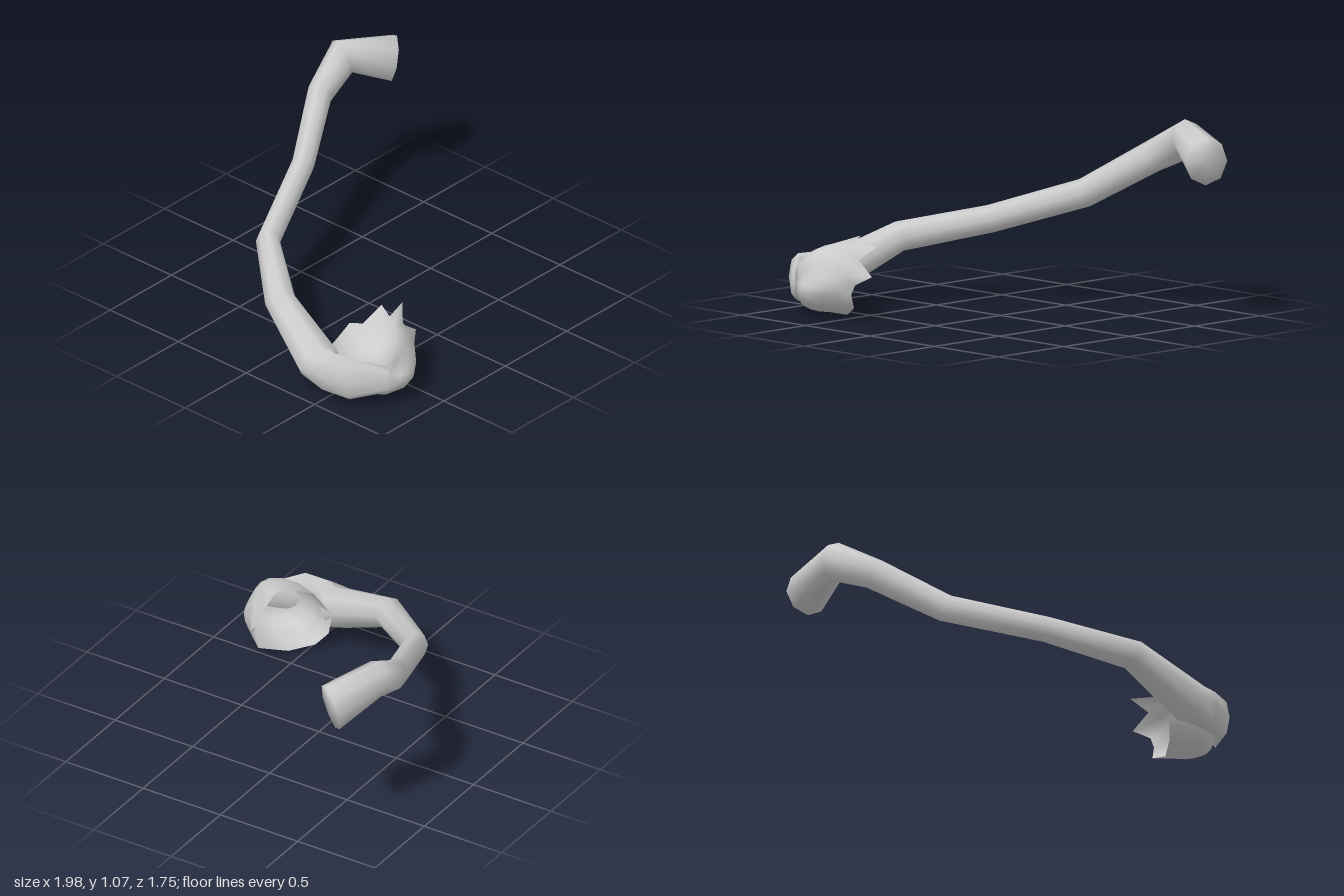
import * as THREE from 'three';
import { mergeVertices } from 'three/addons/utils/BufferGeometryUtils.js';

const V = (p) => new THREE.Vector3(...p);

// Skin a list of closed rings (equal point counts) into a smooth surface
function loft(rings) {
  const n = rings[0].length, index = [];
  for (let i = 0; i < rings.length - 1; i++) {
    for (let j = 0; j < n; j++) {
      const a = i * n + j, b = i * n + (j + 1) % n;
      index.push(a, a + n, b, b, a + n, b + n);
    }
  }
  let geo = new THREE.BufferGeometry().setFromPoints(rings.flat());
  geo.setIndex(index);
  geo = mergeVertices(geo, 1e-4);
  geo.computeVertexNormals();
  return geo;
}

// Eight-sided bent shaft: centre, half width, half height, optional facing
function shaftGeometry(stations, sides = 8) {
  const c = stations.map((s) => V(s.c));
  const dir = (a, b) => c[b].clone().sub(c[a]).normalize();
  const rings = stations.map((s, i) => {
    const t = s.n ? V(s.n).normalize()
      : dir(Math.max(i - 1, 0), i).add(dir(i, Math.min(i + 1, c.length - 1))).normalize();
    const side = t.clone().cross(V([0, 1, 0])).normalize();
    const up = side.clone().cross(t);
    return Array.from({ length: sides }, (_, j) => {
      const a = (j / sides) * Math.PI * 2;
      return c[i].clone().addScaledVector(side, Math.cos(a) * s.w).addScaledVector(up, Math.sin(a) * s.h);
    });
  });
  // close both ends
  rings.unshift(Array.from({ length: sides }, () => c[0].clone()));
  rings.push(Array.from({ length: sides }, () => c[c.length - 1].clone()));
  return loft(rings);
}

// Hollow scoop: a jagged rim rounding off to a pole
function scoopGeometry(rimPoints, centre, pole, rows = 7) {
  const C = V(centre), depth = V(pole).sub(C);
  const rim = rimPoints.map(V), n = rim.length;
  const soft = rim.map((p, j) => p.clone().multiplyScalar(2)
    .add(rim[(j + 1) % n]).add(rim[(j + n - 1) % n]).multiplyScalar(0.25));
  const rings = [rim];
  for (let k = 1; k <= rows; k++) {
    const a = (k / rows) * Math.PI / 2;
    const r = k === rows ? 0 : Math.cos(a) ** 0.7, d = Math.sin(a) ** 0.7;
    rings.push(soft.map((p) => p.clone().sub(C).multiplyScalar(r).add(C).addScaledVector(depth, d)));
  }
  return loft(rings);
}

export function createModel() {
  const group = new THREE.Group();
  const add = (name, geo, side = THREE.FrontSide) => {
    const mesh = new THREE.Mesh(geo, new THREE.MeshStandardMaterial({ color: 0xcccccc, side }));
    mesh.name = name;
    group.add(mesh);
  };

  // Shaft, from the root behind the scoop up to the swollen knob
  add('shaftWithKnob', shaftGeometry([
    { c: [-0.76, 0.19, 0.83], w: 0.02, h: 0.08 },
    { c: [-0.9, 0.19, 0.665], w: 0.055, h: 0.13 },
    { c: [-0.91, 0.185, 0.53], w: 0.075, h: 0.13 },
    { c: [-0.875, 0.19, 0.42], w: 0.125, h: 0.115, n: [0.1, 0.12, -0.25] },
    { c: [-0.755, 0.36, 0.03], w: 0.088, h: 0.085 },
    { c: [-0.435, 0.45, -0.35], w: 0.067, h: 0.077 },
    { c: [0.085, 0.63, -0.56], w: 0.064, h: 0.08 },
    { c: [0.425, 0.85, -0.745], w: 0.072, h: 0.088 },
    { c: [0.655, 0.968, -0.785], w: 0.095, h: 0.108, n: [0.5, 0.15, 0.15] },
    { c: [0.925, 0.887, -0.665], w: 0.115, h: 0.14, n: [0.8, -0.2, 0.57] },
  ]));

  // Scoop with a torn rim, listed from the shaft over the top and back below
  add('scoop', scoopGeometry([
    [-0.75, 0.22, 0.39], [-0.72, 0.29, 0.43], [-0.68, 0.37, 0.47],
    [-0.65, 0.38, 0.54], [-0.52, 0.45, 0.56], [-0.52, 0.4, 0.62],
    [-0.37, 0.41, 0.58], [-0.45, 0.33, 0.64], [-0.34, 0.25, 0.65],
    [-0.43, 0.2, 0.69], [-0.44, 0.15, 0.71], [-0.45, 0.07, 0.68],
    [-0.6, 0.005, 0.58], [-0.7, 0.03, 0.47], [-0.74, 0.1, 0.41],
  ], [-0.57, 0.22, 0.57], [-0.75, 0.2, 0.82]), THREE.DoubleSide);

  return group;
}
